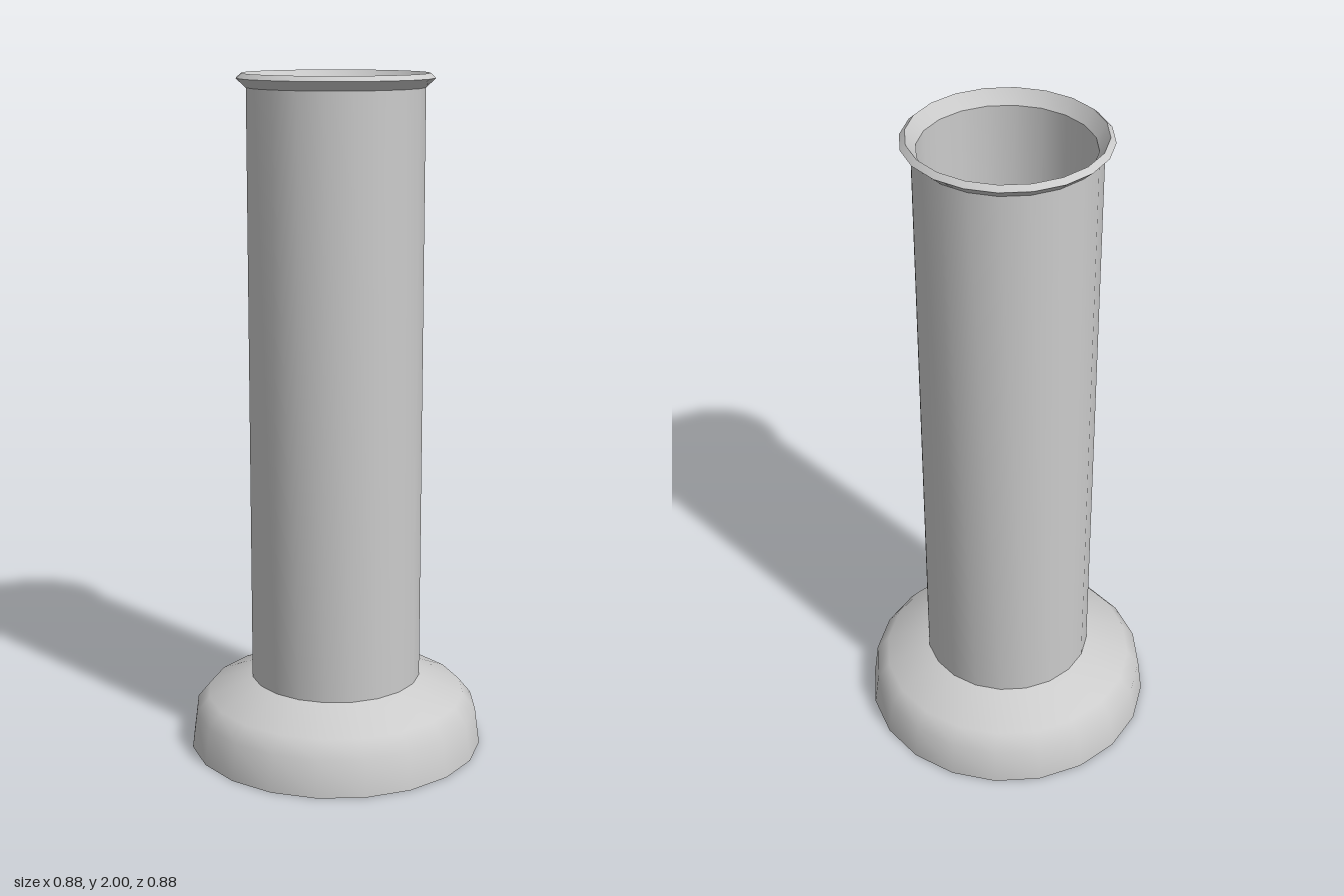
import * as THREE from 'three';
import { toCreasedNormals } from 'three/addons/utils/BufferGeometryUtils.js';

const SIDES = 20;

export function createModel() {
  const group = new THREE.Group();
  const material = new THREE.MeshStandardMaterial({ color: 0xcccccc });

  // Turns a profile of [radius, height] pairs, starting from the bottom outside
  const turned = (name, profile, crease) => {
    const points = profile.map(([r, y]) => new THREE.Vector2(r, y));
    const lathe = new THREE.LatheGeometry(points, SIDES);
    const mesh = new THREE.Mesh(toCreasedNormals(lathe, crease), material);
    mesh.name = name;
    group.add(mesh);
  };

  // Flared foot with a rounded shoulder and a closed underside
  turned('base', [[0, 0], [0.44, 0], [0.426, 0.11], [0.388, 0.157], [0.255, 0.213]], 0.9);

  // Long straight outer wall
  turned('outerWall', [[0.255, 0.213], [0.255, 1.96]], 0.6);

  // Lip: flares out, turns over the top and funnels inward
  turned('rim', [[0.255, 1.96], [0.283, 1.986], [0.268, 2], [0.24, 1.96]], 0.35);

  // Hollow inside, closed by a floor level with the base
  turned('innerWall', [[0.24, 1.96], [0.24, 0.2], [0, 0.2]], 0.6);

  return group;
}
